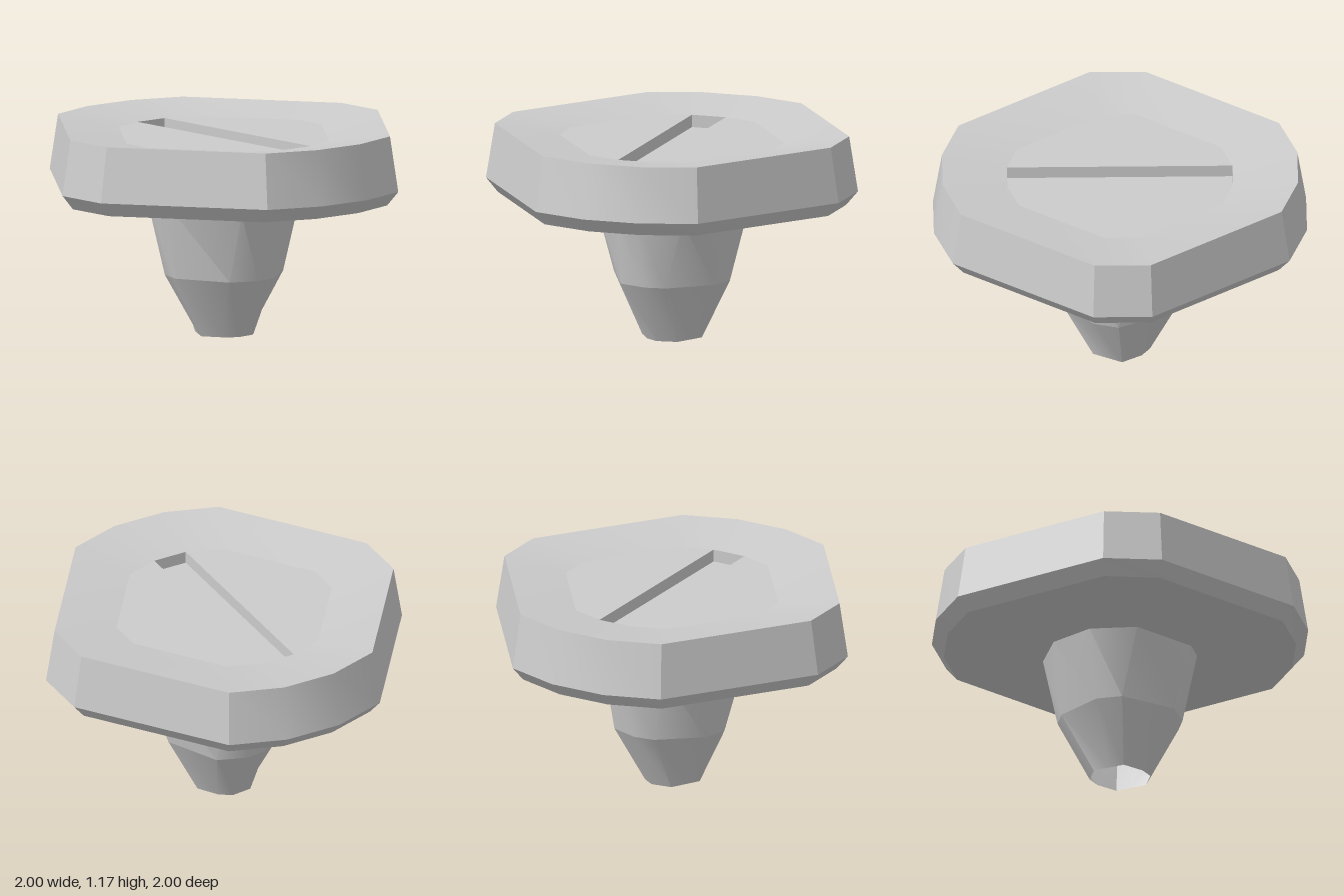
import * as THREE from 'three';
import { toCreasedNormals } from 'three/addons/utils/BufferGeometryUtils.js';

const material = new THREE.MeshStandardMaterial({ color: 0xcccccc, side: THREE.DoubleSide });

// Point at radius r, height y and an angle in degrees from +x towards +z
const point = (r, y, deg) => {
  const a = THREE.MathUtils.degToRad(deg);
  return [r * Math.cos(a), y, r * Math.sin(a)];
};

// Repeat a half outline on the opposite side
const bothSides = (half) => [...half, ...half.map((deg) => deg + 180)];

function makeMesh(name, positions, crease) {
  const geometry = new THREE.BufferGeometry();
  geometry.setAttribute('position', new THREE.Float32BufferAttribute(positions, 3));
  const mesh = new THREE.Mesh(toCreasedNormals(geometry, crease), material);
  mesh.name = name;
  return mesh;
}

// Join matching rings of points with quads
function loft(name, rings, crease = 0.6) {
  const positions = [];
  for (let k = 0; k + 1 < rings.length; k++) {
    const top = rings[k], low = rings[k + 1];
    for (let i = 0; i < top.length; i++) {
      const j = (i + 1) % top.length;
      positions.push(...top[i], ...top[j], ...low[i]);
      positions.push(...top[j], ...low[j], ...low[i]);
    }
  }
  return makeMesh(name, positions, crease);
}

const profileRings = (profile, angles) =>
  profile.map(([r, y]) => angles.map((deg) => point(r, y, deg)));

export function createModel() {
  const model = new THREE.Group();
  const floorR = 0.635, floorY = 1.12, slotY = 1.05;

  // Head: sloping dish, outer wall, bevel and shallow underside
  const headAngles = bothSides([18, 36, 54, 72, 126, 144]);
  model.add(loft('head', profileRings(
    [[floorR, floorY], [1, 1.17], [1.05, 0.86], [0.983, 0.78], [0.4, 0.73]], headAngles)));

  // Dish floor: two halves either side of the slot
  const half = [54, 72, 126, 144, 198, 216];
  for (const turn of [0, 180]) {
    const pts = half.map((deg) => point(floorR, floorY, deg + turn));
    const positions = [];
    for (let i = 1; i + 1 < pts.length; i++) {
      positions.push(...pts[0], ...pts[i + 1], ...pts[i]);
    }
    model.add(makeMesh('dishFloor', positions, 0.1));
  }

  // Slot: sunken channel across the dish
  model.add(loft('slot', profileRings(
    [[0, slotY], [floorR, slotY], [floorR, floorY]], bothSides([36, 54]))));

  // Stem: faceted, irregular taper with an open lower end
  const stemRing = (y, half) => [0, 180].flatMap((turn) =>
    half.map(([r, deg]) => point(r, y, deg + turn)));
  const stemTop = stemRing(0.73, [[0.43, 18], [0.43, 54], [0.43, 72], [0.43, 126], [0.43, 162]]);
  const stemMid = stemRing(0.34, [[0.34, 32], [0.348, 52], [0.352, 80], [0.345, 137], [0.338, 162]]);
  const stemLow = stemRing(0, [[0.173, 16], [0.17, 57], [0.158, 86], [0.173, 132], [0.147, 164]]);
  model.add(loft('upperStem', [stemTop, stemMid]));
  model.add(loft('lowerStem', [stemMid, stemLow]));

  return model;
}
